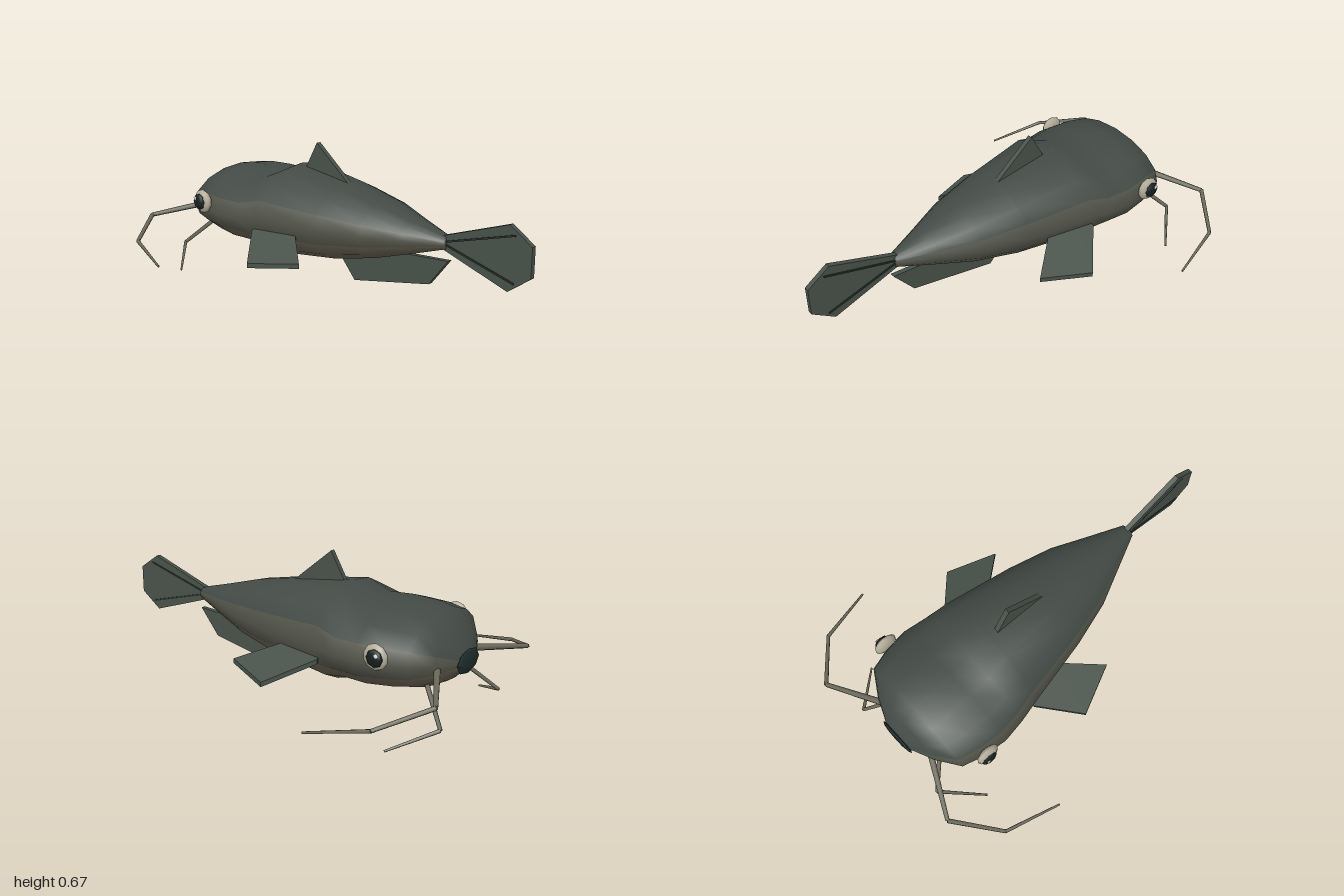
import * as THREE from 'three';

const mat = (color, flatShading = false) => new THREE.MeshStandardMaterial({ color, flatShading });
const finMat = mat(0x48524a, true);
const rayMat = mat(0x2c3330, true);
const barbelMat = mat(0x6b6a5c);

function add(group, name, geometry, material) {
  const mesh = new THREE.Mesh(geometry, material);
  mesh.name = name;
  group.add(mesh);
  return mesh;
}

// Thin slab from a 2D outline, centred on its own plane
function slab(points, thickness) {
  const shape = new THREE.Shape(points.map(([a, b]) => new THREE.Vector2(a, b)));
  return new THREE.ExtrudeGeometry(shape, { depth: thickness, bevelEnabled: false }).translate(0, 0, -thickness / 2);
}

// Upright fin on the centre line, outline given as [z, y]
const uprightFin = (points, thickness = 0.024) => slab(points, thickness).rotateY(-Math.PI / 2);

// Tapered straight rod between two points
function rod(from, to, r0, r1) {
  const a = new THREE.Vector3(...from), b = new THREE.Vector3(...to);
  const dir = b.clone().sub(a), length = dir.length();
  const g = new THREE.CylinderGeometry(r1, r0, length, 6);
  g.applyQuaternion(new THREE.Quaternion().setFromUnitVectors(new THREE.Vector3(0, 1, 0), dir.normalize()));
  return g.translate(...a.add(b).multiplyScalar(0.5).toArray());
}

// Body lofted through elliptical sections, split into back, flank and belly bands
function buildBody(group) {
  const sides = 16;
  // z, half width, top, bottom
  const sections = [
    [-0.9, 0.085, 0.345, 0.265],
    [-0.85, 0.2, 0.42, 0.21],
    [-0.78, 0.31, 0.49, 0.175],
    [-0.68, 0.34, 0.505, 0.155],
    [-0.56, 0.355, 0.508, 0.14],
    [-0.44, 0.338, 0.502, 0.138],
    [-0.33, 0.315, 0.553, 0.103],
    [0, 0.25, 0.505, 0.14],
    [0.22, 0.19, 0.46, 0.19],
    [0.4, 0.11, 0.407, 0.245],
    [0.57, 0.035, 0.36, 0.3],
  ];
  const positions = [];
  for (const [z, w, top, bottom] of sections) {
    for (let j = 0; j < sides; j++) {
      const a = (j / sides) * Math.PI * 2;
      positions.push(w * Math.sin(a), (top + bottom) / 2 + Math.cos(a) * (top - bottom) / 2, z);
    }
  }
  const last = sections.length - 1, nose = sections.length * sides, tail = nose + 1;
  positions.push(0, 0.305, -0.905, 0, 0.33, 0.575);

  const bands = { back: [], flank: [], belly: [] };
  for (let j = 0; j < sides; j++) {
    const k = (j + 1) % sides, fromTop = Math.min(j, sides - 1 - j);
    const band = fromTop < 3 ? bands.back : fromTop < 5 ? bands.flank : bands.belly;
    for (let i = 0; i < last; i++) {
      const a = i * sides + j, c = i * sides + k;
      band.push(a, a + sides, c, a + sides, c + sides, c);
    }
    band.push(nose, j, k, tail, last * sides + k, last * sides + j);
  }
  const whole = new THREE.BufferGeometry();
  whole.setAttribute('position', new THREE.Float32BufferAttribute(positions, 3));
  whole.setIndex([...bands.back, ...bands.flank, ...bands.belly]);
  whole.computeVertexNormals();
  const colors = { back: 0x434b46, flank: 0x525449, belly: 0x655f50 };
  for (const name in bands) add(group, name, whole.clone().setIndex(bands[name]), mat(colors[name]));
}

function buildFins(group) {
  add(group, 'dorsalFin', uprightFin([[-0.01, 0.48], [-0.01, 0.505], [-0.21, 0.67], [-0.285, 0.54], [-0.285, 0.48]]), finMat);
  add(group, 'analFin', uprightFin([[0.585, 0.25], [0.48, 0.12], [0.035, 0.035], [-0.055, 0.14], [-0.05, 0.2], [0.28, 0.23]]), finMat);
  add(group, 'tailFin', uprightFin([[0.55, 0.36], [0.89, 0.475], [1, 0.4], [1, 0.265], [0.89, 0.185], [0.55, 0.3]]), finMat);
  // Raised rays on the tail
  for (const s of [1, -1]) {
    add(group, 'tailRay', uprightFin([[0.56, 0.33 + s * 0.008], [0.92, 0.33 + s * 0.108], [0.92, 0.33 + s * 0.1], [0.56, 0.33]], 0.034), rayMat);
  }
  // Pectoral fins: flat outlines in x and z, tilted downward
  for (const s of [1, -1]) {
    const outline = [[0.2, -0.32], [0.315, -0.35], [0.495, -0.185], [0.395, 0.05], [0.265, -0.105], [0.2, -0.15]];
    const g = slab(outline.map(([x, z]) => [s * x, z]), 0.022).rotateX(Math.PI / 2);
    const p = g.attributes.position;
    for (let i = 0; i < p.count; i++) {
      p.setY(i, p.getY(i) + 0.262 - 0.418 * (Math.abs(p.getX(i)) - 0.315) - 0.071 * (p.getZ(i) + 0.35));
    }
    g.computeVertexNormals();
    add(group, s > 0 ? 'leftPectoralFin' : 'rightPectoralFin', g, finMat);
  }
}

function buildFace(group) {
  // Mouth: flattened low-poly dark lens
  add(group, 'mouth', new THREE.SphereGeometry(1, 8, 6).rotateX(Math.PI / 2).scale(0.1, 0.055, 0.014).translate(0, 0.297, -0.904), mat(0x1f2e2e, true));

  const disc = (x, y, z, thick, r, seg) =>
    new THREE.SphereGeometry(1, seg, 6).rotateZ(Math.PI / 2).scale(thick, r, r).translate(x, y, z);
  const eyeMat = mat(0xb5ae9c), pupilMat = mat(0x16201f), glintMat = mat(0xe6e6e0);
  for (const s of [1, -1]) {
    add(group, 'eye', disc(s * 0.352, 0.367, -0.665, 0.025, 0.059, 10), eyeMat);
    add(group, 'pupil', disc(s * 0.37, 0.367, -0.67, 0.018, 0.04, 8), pupilMat);
    add(group, 'eyeGlint', disc(s * 0.384, 0.383, -0.685, 0.005, 0.011, 6), glintMat);
  }

  // Barbels: a long and a short jointed whisker on each side
  const barbels = {
    upperBarbel: [[0.17, 0.295, -0.85], [0.43, 0.255, -0.985], [0.635, 0.192, -0.825], [0.71, 0.14, -0.56]],
    lowerBarbel: [[0.16, 0.22, -0.8], [0.27, 0.085, -0.93], [0.43, 0.008, -0.765]],
  };
  const radii = { upperBarbel: [0.016, 0.011, 0.009, 0.005], lowerBarbel: [0.011, 0.009, 0.005] };
  for (const name in barbels) {
    for (const s of [1, -1]) {
      const barbel = new THREE.Group();
      barbel.name = name;
      const pts = barbels[name].map(([x, y, z]) => [s * x, y, z]);
      for (let i = 0; i + 1 < pts.length; i++) {
        add(barbel, 'barbelSegment', rod(pts[i], pts[i + 1], radii[name][i], radii[name][i + 1]), barbelMat);
      }
      group.add(barbel);
    }
  }
}

export function createModel() {
  const fish = new THREE.Group();
  fish.name = 'whiskeredFish';
  buildBody(fish);
  buildFins(fish);
  buildFace(fish);
  return fish;
}
